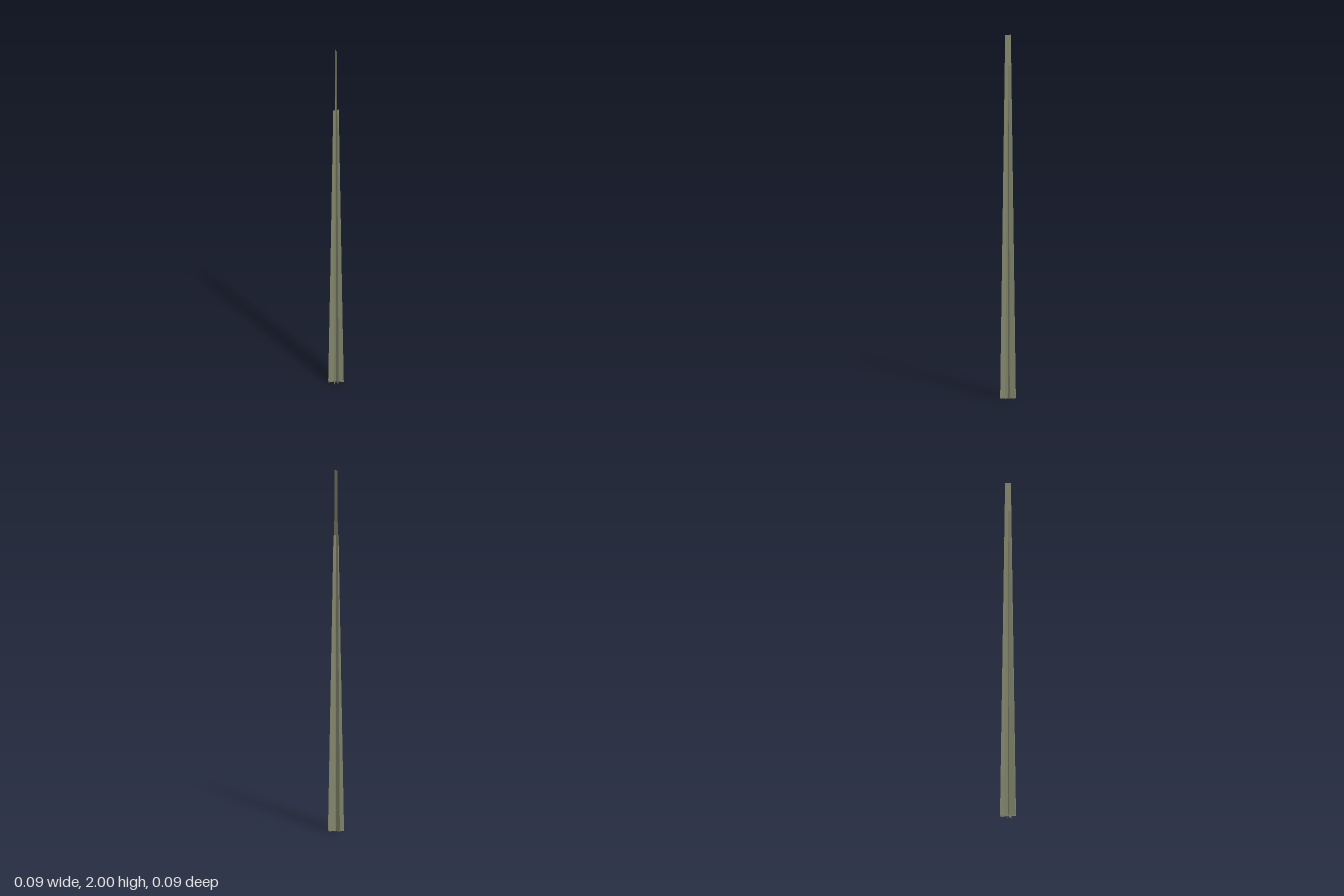
import * as THREE from 'three';

// Crossed, flat tapering blades standing on the ground
const BLADES = [
  // height, turn about y in degrees
  [2.0, 84],
  [1.83, 52],
  [1.64, -6],
  [1.53, -40],
];
const BASE_HALF = 0.044;
const TIP_HALF = 0.016;

function bladeGeometry(height) {
  const geo = new THREE.PlaneGeometry(2, height, 1, 4);
  geo.translate(0, height / 2, 0);
  const pos = geo.attributes.position;
  for (let i = 0; i < pos.count; i++) {
    const t = pos.getY(i) / height;
    pos.setX(i, pos.getX(i) * THREE.MathUtils.lerp(BASE_HALF, TIP_HALF, t));
  }
  geo.computeVertexNormals();
  return geo;
}

export function createModel() {
  const group = new THREE.Group();
  group.name = 'crossedBlades';
  const material = new THREE.MeshStandardMaterial({ color: 0x80846a, side: THREE.DoubleSide });
  BLADES.forEach(([height, turn], i) => {
    const blade = new THREE.Mesh(bladeGeometry(height), material);
    blade.name = `blade${i + 1}`;
    blade.rotation.y = THREE.MathUtils.degToRad(turn);
    group.add(blade);
  });
  return group;
}
